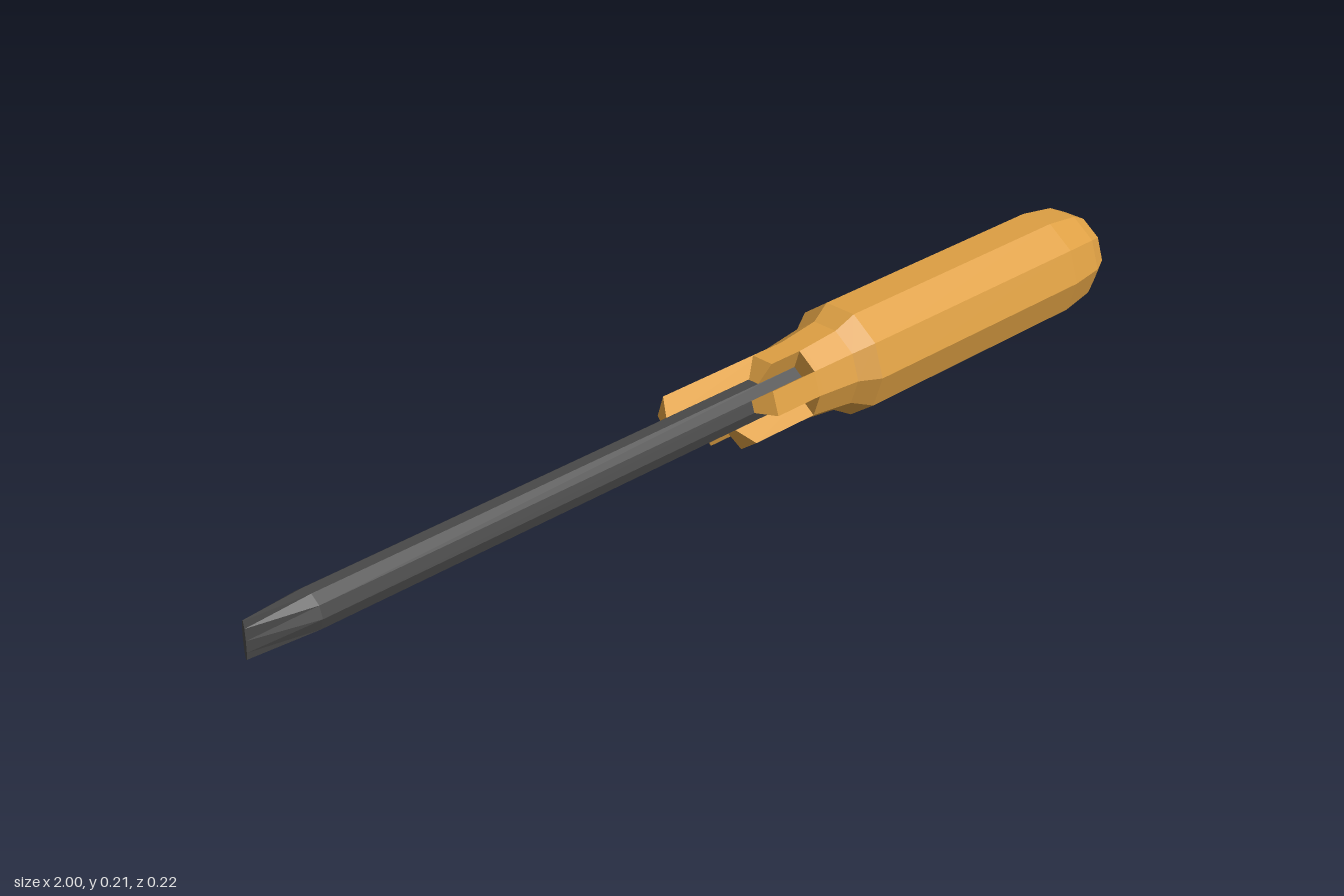
import * as THREE from 'three';

const SIDES = 10;
const AXIS_Y = 0.103;

// Ten-sided solid turned around the x axis from [x, radius] pairs
function turned(profile) {
  const points = profile.map(([x, r]) => new THREE.Vector2(r, x));
  return new THREE.LatheGeometry(points, SIDES).rotateZ(-Math.PI / 2);
}

// One gripping finger: a box bent to one sector of the ten-sided collar.
// Angles run from +z towards +y; the free end is slanted.
function fingerGeometry(sector, startX) {
  const step = (Math.PI * 2) / SIDES;
  const middle = (sector + 0.5) * step;
  const geometry = new THREE.BoxGeometry(1, 1, 1);
  const p = geometry.attributes.position;
  for (let i = 0; i < p.count; i++) {
    const outer = p.getY(i) > 0;
    const r = outer ? 0.075 : 0.033;
    const angle = middle - Math.sign(p.getZ(i)) * step / 2;
    const x = p.getX(i) > 0 ? 0.2 : startX + (outer ? 0.024 : 0);
    p.setXYZ(i, x, r * Math.sin(angle), r * Math.cos(angle));
  }
  geometry.computeVertexNormals();
  return geometry;
}

export function createModel() {
  const model = new THREE.Group();
  model.name = 'screwdriver';
  const amber = new THREE.MeshStandardMaterial({ color: 0xdd9f43, flatShading: true });
  const steel = new THREE.MeshStandardMaterial({ color: 0x484848, flatShading: true });

  function add(name, geometry, material) {
    const mesh = new THREE.Mesh(geometry, material);
    mesh.name = name;
    mesh.position.y = AXIS_Y;
    model.add(mesh);
  }

  // Faceted grip with flared neck and rounded butt
  add('handle', turned([
    [0.19, 0], [0.19, 0.075], [0.2, 0.076], [0.28, 0.085], [0.32, 0.108],
    [0.88, 0.108], [0.96, 0.096], [1, 0.076], [1, 0],
  ]), amber);

  // Fingers of unequal length, with open slots between them
  const fingers = [[0, 0.06], [2, 0.095], [4, -0.09], [6, -0.01], [8, 0.02]];
  for (const [sector, startX] of fingers) {
    add('collarFinger', fingerGeometry(sector, startX), amber);
  }

  // Steel shaft, pinched across z into a flat blade
  const shaft = turned([[-1, 0], [-1, 0.037], [-0.88, 0.037], [0.2, 0.037], [0.2, 0]]);
  const p = shaft.attributes.position;
  for (let i = 0; i < p.count; i++) {
    if (p.getX(i) < -0.95) p.setZ(i, p.getZ(i) * 0.1);
  }
  shaft.computeVertexNormals();
  add('shaft', shaft, steel);

  return model;
}
